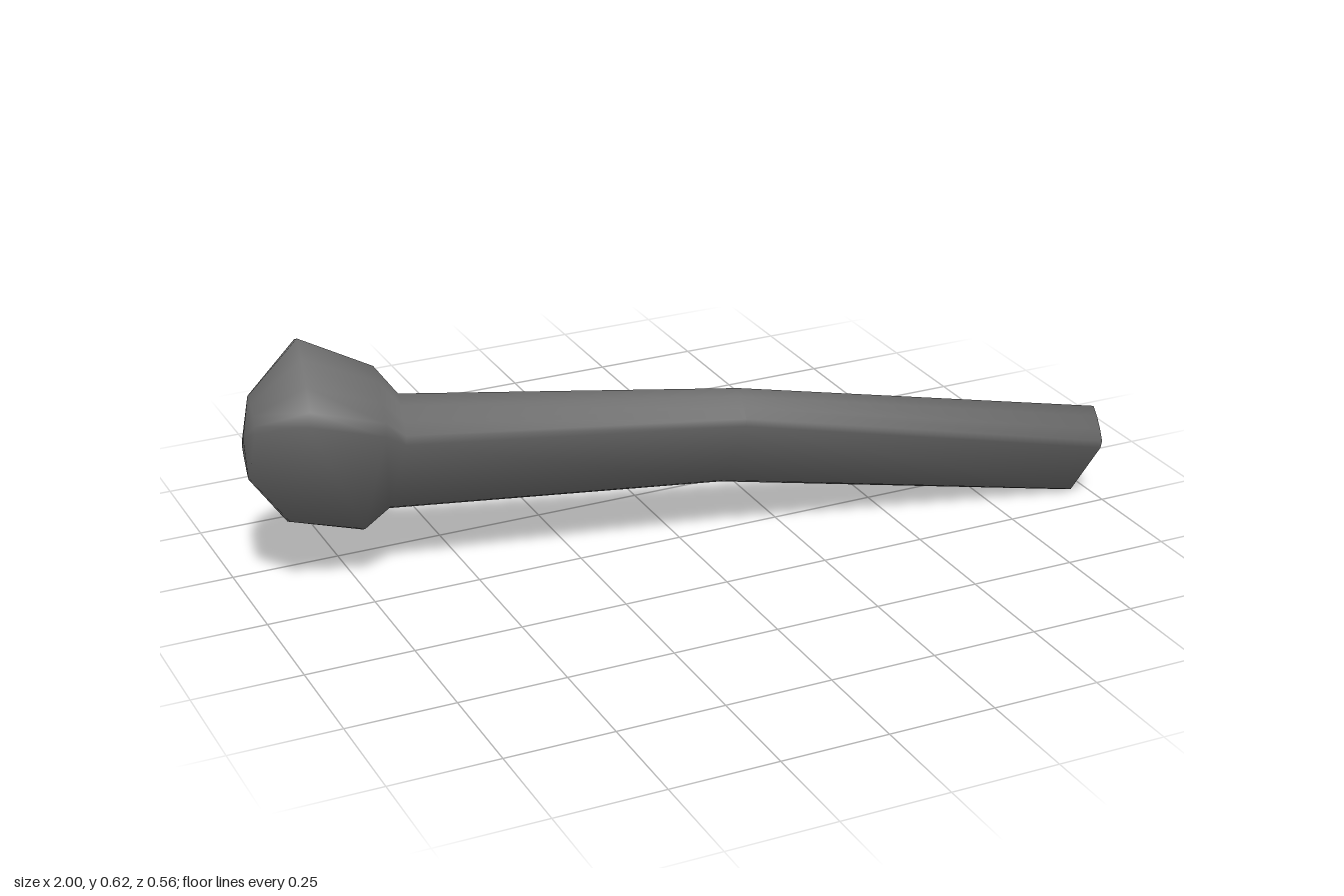
import * as THREE from 'three';

// Cross-sections from the free end to the butt: x of the centre, four corners
// as [z, y] (front, top, back, bottom), lean of the section along y and z
const rings = [
  { x: 0.992, c: [[0.228, 0.142], [0.175, 0.18], [0.112, 0.07], [0.168, 0.043]], lean: [0.13, -0.15] },
  { x: 0.973, c: [[0.28, 0.16], [0.195, 0.223], [0.083, 0.045], [0.175, 0]], lean: [0.18, -0.15] },
  { x: 0.09, c: [[0.176, 0.345], [0.09, 0.393], [-0.037, 0.197], [0.06, 0.15]] },
  { x: -0.67, c: [[0.055, 0.4], [-0.06, 0.463], [-0.188, 0.238], [-0.068, 0.184]] },
  { x: -0.725, c: [[0.1, 0.455], [-0.08, 0.53], [-0.24, 0.25], [-0.065, 0.143]] },
  { x: -0.89, c: [[0.1, 0.51], [-0.1, 0.618], [-0.28, 0.312], [-0.08, 0.19]] },
  { x: -0.988, c: [[-0.02, 0.455], [-0.12, 0.495], [-0.17, 0.36], [-0.065, 0.32]] },
];

const mix = (a, b, t) => [a[0] + (b[0] - a[0]) * t, a[1] + (b[1] - a[1]) * t];

// Rounds the corners and bows out the two short sides
function section({ x, c, lean = [0.1, -0.15] }) {
  const mid = mix(mix(c[0], c[2], 0.5), mix(c[1], c[3], 0.5), 0.5);
  const pts = [];
  for (let i = 0; i < 4; i++) {
    const stops = i % 2 === 0 ? [0.08, 0.35, 0.65, 0.92] : [0.07, 0.93];
    for (const t of stops) {
      const bow = t > 0.3 && t < 0.7 ? 1.1 : 1.06;
      pts.push(mix(mid, mix(c[i], c[(i + 1) % 4], t), bow));
    }
  }
  const place = ([z, y]) =>
    new THREE.Vector3(x + lean[0] * (y - mid[1]) + lean[1] * (z - mid[0]), y, z);
  return { pts: pts.map(place), mid: place(mid) };
}

// Skins the sections in order from +x to -x and closes both ends with shallow peaks.
// Every face counts equally in the normals, so narrow bevels shade the wide sides softly.
function loft(list, startPeak, endPeak) {
  const sections = list.map(section);
  const n = sections[0].pts.length;
  const last = sections.length - 1;
  const verts = sections.flatMap(s => s.pts);
  const first = verts.length;
  const peak = (k, dx) => sections[k].mid.clone().add(new THREE.Vector3(dx, 0, 0));
  verts.push(peak(0, startPeak), peak(last, -endPeak));
  const normals = verts.map(() => new THREE.Vector3());
  const index = [];
  const face = (a, b, c, d) => {
    index.push(a, b, c);
    if (d !== undefined) index.push(a, c, d);
    const far = verts[d ?? c];
    const normal = verts[c].clone().sub(verts[a])
      .cross(far.clone().sub(verts[b])).normalize();
    for (const v of [a, b, c, d]) if (v !== undefined) normals[v].add(normal);
  };
  for (let i = 0; i < n; i++) {
    const j = (i + 1) % n;
    for (let k = 0; k < last; k++) face(k * n + i, k * n + j, k * n + n + j, k * n + n + i);
    face(first, j, i);
    face(first + 1, last * n + i, last * n + j);
  }
  const g = new THREE.BufferGeometry().setFromPoints(verts);
  g.setIndex(index);
  const flat = normals.flatMap(v => v.normalize().toArray());
  g.setAttribute('normal', new THREE.Float32BufferAttribute(flat, 3));
  return g;
}

export function createModel() {
  const group = new THREE.Group();
  group.name = 'bentBar';
  // Slightly bent shaft flaring into a block-shaped head, one smooth skin
  const body = new THREE.Mesh(
    loft(rings, 0.006, 0.012),
    new THREE.MeshStandardMaterial({ color: 0x707070 }),
  );
  body.name = 'shaftAndHead';
  group.add(body);
  return group;
}
